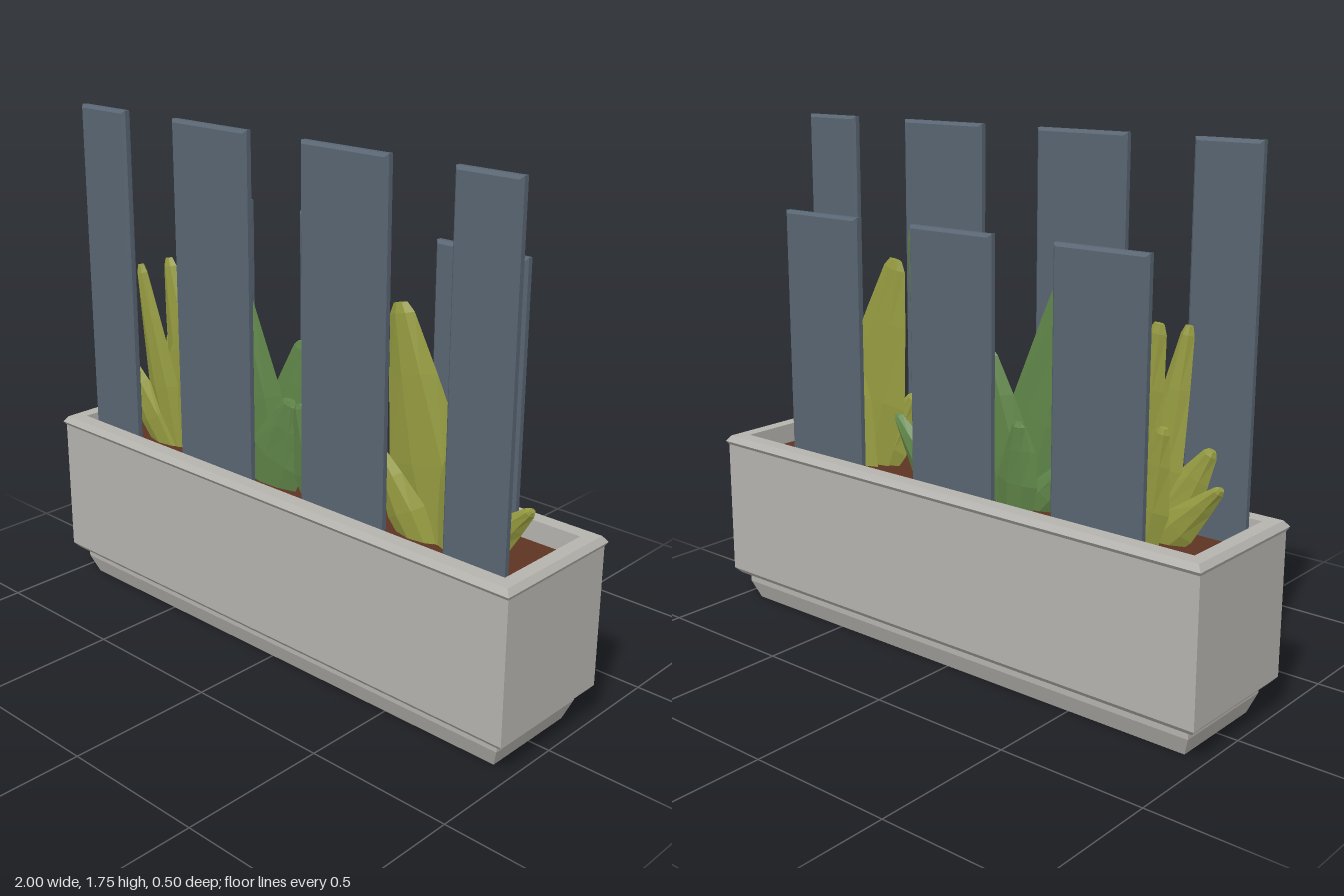
import * as THREE from 'three';

const mat = (name, color) => {
  const m = new THREE.MeshStandardMaterial({ color, flatShading: true });
  m.name = name;
  return m;
};

// Skin a list of rings (each an array of Vector3) with flat faces
function loft(rings, capStart, capEnd) {
  const pos = [];
  const tri = (...pts) => pts.forEach((p) => pos.push(p.x, p.y, p.z));
  const n = rings[0].length;
  for (let j = 0; j < rings.length - 1; j++) {
    for (let i = 0; i < n; i++) {
      const k = (i + 1) % n;
      tri(rings[j][i], rings[j][k], rings[j + 1][k]);
      tri(rings[j][i], rings[j + 1][k], rings[j + 1][i]);
    }
  }
  const first = rings[0], last = rings[rings.length - 1];
  for (let i = 1; i < n - 1; i++) {
    if (capStart) tri(first[0], first[i + 1], first[i]);
    if (capEnd) tri(last[0], last[i], last[i + 1]);
  }
  const g = new THREE.BufferGeometry();
  g.setAttribute('position', new THREE.Float32BufferAttribute(pos, 3));
  g.computeVertexNormals();
  return g;
}

// Rectangular ring at height y
const rectRing = ([hx, hz, y]) =>
  [[1, 1], [1, -1], [-1, -1], [-1, 1]].map(([sx, sz]) => new THREE.Vector3(sx * hx, y, sz * hz));

// Thin upright board with chamfered edges
function boardGeometry(x0, x1, y0, y1, z) {
  const s = new THREE.Shape();
  s.moveTo(x0, y0);
  s.lineTo(x1, y0);
  s.lineTo(x1, y1);
  s.lineTo(x0, y1);
  s.closePath();
  const g = new THREE.ExtrudeGeometry(s, {
    depth: 0.017, bevelEnabled: true, bevelThickness: 0.01,
    bevelSize: 0.01, bevelOffset: -0.01, bevelSegments: 1,
  });
  return g.translate(0, 0, z - 0.0085);
}

// Blunt, ridged leaf: [along, width factor, thickness factor]
const LEAF_PROFILE = [[0, 0.8, 0.8], [0.36, 1, 1], [0.72, 0.6, 0.9], [0.96, 0.3, 0.7], [1, 0.17, 0.45]];
const LEAF_SECTION = [[1, 0.15], [0.3, 1], [-0.45, 0.75], [-1, -0.15], [-0.3, -1], [0.45, -0.75]];

function leafGeometry(bx, bz, tx, ty, tz, w) {
  const base = new THREE.Vector3(bx, 0.53, bz);
  const tip = new THREE.Vector3(tx, ty, tz);
  const u = tip.clone().sub(base).normalize();
  const a = new THREE.Vector3(u.y, -u.x, 0).normalize();
  const b = u.clone().cross(a);
  const rings = LEAF_PROFILE.map(([s, fw, ft]) => {
    const c = base.clone().lerp(tip, s);
    return LEAF_SECTION.map(([p, q]) =>
      c.clone().addScaledVector(a, p * w * fw).addScaledVector(b, q * 0.024 * ft));
  });
  return loft(rings, true, true);
}

export function createModel() {
  const model = new THREE.Group();
  model.name = 'planter';
  const concrete = mat('concrete', 0xb5b3ae);
  const slate = mat('slate panel', 0x586572);
  const soilMat = mat('soil', 0x5e3422);
  const olive = mat('yellow green leaf', 0x959b40);
  const green = mat('green leaf', 0x5f8548);

  const add = (parent, name, geometry, material) => {
    const m = new THREE.Mesh(geometry, material);
    m.name = name;
    parent.add(m);
    return m;
  };

  // Trough: plinth, walls, chamfered rim and inner walls
  const profile = [
    [0.925, 0.175, 0], [0.95, 0.2, 0.065], [0.95, 0.2, 0.098], [0.975, 0.222, 0.098],
    [0.993, 0.24, 0.118], [0.993, 0.24, 0.592], [1, 0.25, 0.605], [0.985, 0.236, 0.625],
    [0.94, 0.187, 0.625], [0.94, 0.187, 0.52],
  ];
  add(model, 'trough', loft(profile.map(rectRing), true, false), concrete);

  // Soil
  const soil = add(model, 'soil', new THREE.BoxGeometry(1.88, 0.04, 0.374), soilMat);
  soil.position.y = 0.535;

  // Tall front boards and shorter back boards
  const boards = new THREE.Group();
  boards.name = 'boards';
  model.add(boards);
  for (const [x0, x1] of [[-0.915, -0.69], [-0.455, -0.115], [0.115, 0.455], [0.69, 0.915]])
    add(boards, 'frontBoard', boardGeometry(x0, x1, 0.52, 1.75, 0.144), slate);
  for (const x of [-0.572, 0, 0.572])
    add(boards, 'backBoard', boardGeometry(x - 0.168, x + 0.168, 0.52, 1.45, -0.144), slate);

  // Leaves: base x, base z, tip x, y, z, half width
  const outerLeaves = [
    [0.59, 0.02, 0.41, 1.29, 0.035, 0.155],
    [0.55, -0.01, 0.685, 1.225, -0.012, 0.1],
    [0.63, 0.03, 0.73, 1.21, 0.078, 0.075],
    [0.64, -0.03, 0.74, 0.93, -0.055, 0.08],
    [0.65, 0.04, 0.83, 0.85, 0.07, 0.08],
    [0.68, 0.01, 0.9, 0.76, 0.01, 0.06],
    [0.52, 0.04, 0.36, 0.82, 0.065, 0.08],
  ];
  const innerLeaves = [
    [0.13, 0.02, 0.34, 1.4, 0.05, 0.115],
    [0.15, -0.01, 0.04, 1.055, -0.02, 0.125],
    [0.14, 0.045, 0.02, 0.88, 0.06, 0.12],
    [0.17, -0.03, 0.2, 0.85, -0.055, 0.08],
    [0.18, 0.03, 0.34, 0.83, 0.06, 0.08],
    [0.2, 0, 0.39, 0.76, 0.01, 0.06],
  ];
  const plant = (name, leaves, material) => {
    for (const side of [1, -1]) {
      const g = new THREE.Group();
      g.name = (side > 0 ? 'left ' : 'right ') + name;
      for (const [bx, bz, tx, ty, tz, w] of leaves)
        add(g, 'leaf', leafGeometry(side * bx, bz, side * tx, ty, tz, w), material);
      model.add(g);
    }
  };
  plant('outer plant', outerLeaves, olive);
  plant('inner plant', innerLeaves, green);

  return model;
}
